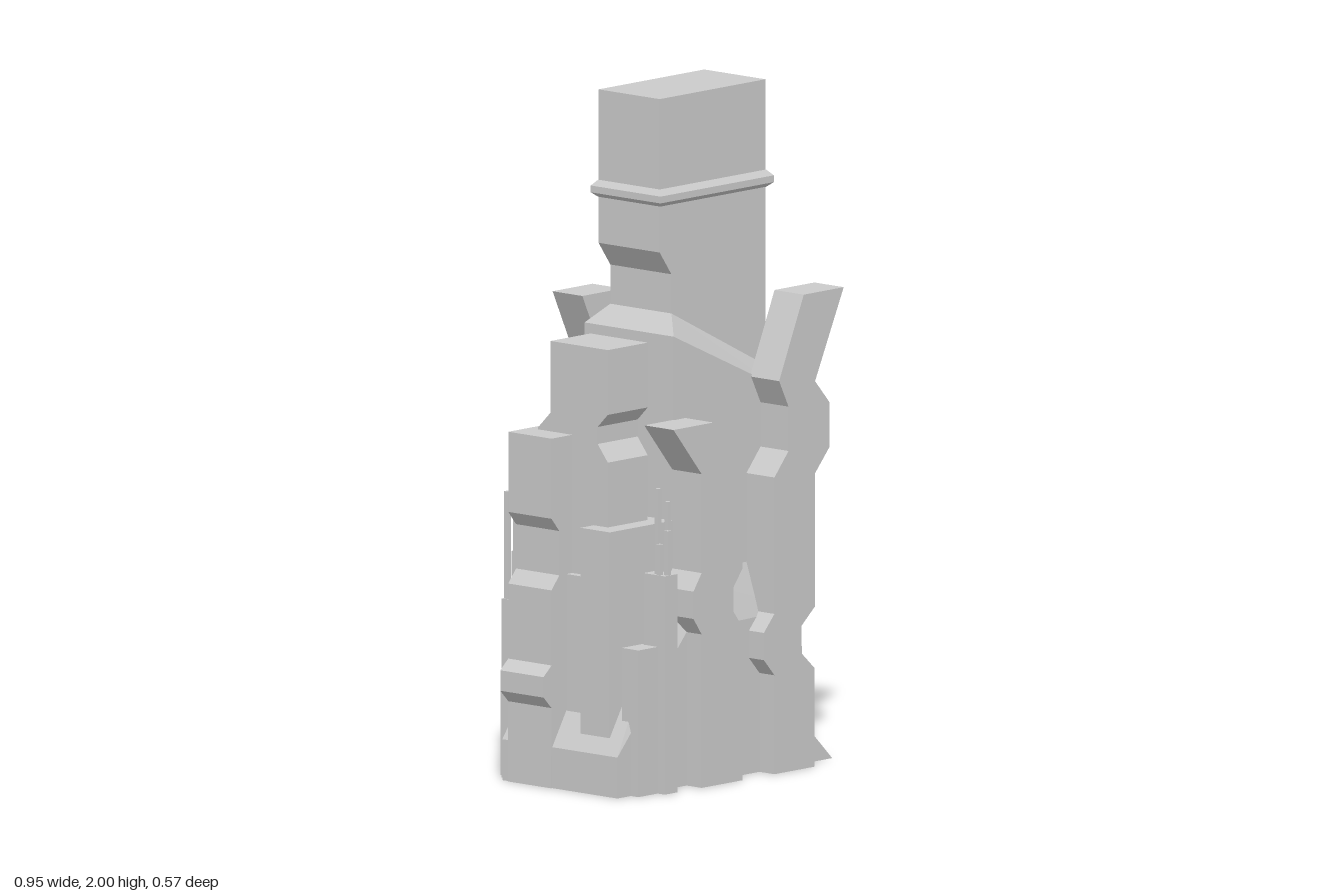
import * as THREE from 'three';
import { ConvexGeometry } from 'three/addons/geometries/ConvexGeometry.js';

export function createModel() {
  const group = new THREE.Group();
  const material = new THREE.MeshStandardMaterial({ color: 0xcccccc, flatShading: true });

  const add = (name, geometry, parent = group) => {
    const mesh = new THREE.Mesh(geometry, material);
    mesh.name = name;
    parent.add(mesh);
    return mesh;
  };
  // Box given by its extents
  const block = (name, x0, x1, y0, y1, z0, z1, parent) =>
    add(name, new THREE.BoxGeometry(x1 - x0, y1 - y0, z1 - z0)
      .translate((x0 + x1) / 2, (y0 + y1) / 2, (z0 + z1) / 2), parent);
  // Outline in x,y pushed through from z0 to z1
  const slab = (name, points, z0, z1) => {
    const shape = new THREE.Shape(points.map(([x, y]) => new THREE.Vector2(x, y)));
    return add(name, new THREE.ExtrudeGeometry(shape, { depth: z1 - z0, bevelEnabled: false }).translate(0, 0, z0));
  };
  // Convex solid, symmetric front to back: points are [x, y, half depth]
  const solid = (name, points) =>
    add(name, new ConvexGeometry(points.flatMap(([x, y, z]) =>
      [new THREE.Vector3(x, y, z), new THREE.Vector3(x, y, -z)])));

  // Central tower
  slab('upperTower', [[-0.145, 2], [-0.145, 1.55], [-0.095, 1.48], [-0.095, 1.3],
    [0.305, 1.09], [0.305, 2]], -0.12, 0.12);
  solid('towerRing', [
    [-0.145, 1.685, 0.122], [0.307, 1.685, 0.122], [-0.16, 1.698, 0.137], [0.323, 1.698, 0.137],
    [-0.16, 1.718, 0.137], [0.323, 1.718, 0.137], [-0.145, 1.735, 0.122], [0.307, 1.735, 0.122]]);
  solid('middleBody', [
    [-0.145, 0.4, 0.175], [0.3, 0.4, 0.175], [-0.145, 1.31, 0.175], [0.3, 1.105, 0.175],
    [-0.095, 1.365, 0.12], [0.3, 1.165, 0.12]]);
  solid('lowerBody', [
    [-0.44, 0, 0.226], [0.36, 0, 0.226], [-0.44, 0.12, 0.226], [0.36, 0.11, 0.226],
    [-0.145, 0.45, 0.226], [0.338, 0.46, 0.226], [-0.145, 0.61, 0.175], [0.3, 0.61, 0.175]]);
  solid('slopedFoot', [[0.34, 0, 0.226], [0.475, 0, 0.226], [0.36, 0.113, 0.226], [0.34, 0.113, 0.226]]);
  block('sidePanel', 0.28, 0.34, 0.52, 0.84, -0.135, 0.065);

  // Leaning buttress, used in front and turned the other way at the back
  const buttress = [
    [0.165, 0], [0.335, 0], [0.335, 0.29], [0.28, 0.34], [0.28, 0.42], [0.338, 0.47],
    [0.338, 0.86], [0.4, 0.93], [0.4, 1.06], [0.338, 1.13], [0.46, 1.39], [0.29, 1.39],
    [0.185, 1.15], [0.225, 1.07], [0.225, 0.94], [0.165, 0.87], [0.165, 0.47],
    [0.12, 0.42], [0.12, 0.34], [0.165, 0.29]];
  slab('frontTallButtress', buttress, 0.17, 0.285);
  slab('backTallButtress', buttress.map(([x, y]) => [0.3 - x, y]).reverse(), -0.287, -0.17);
  slab('frontShortButtress', [
    [-0.145, 0], [0.028, 0], [0.028, 0.45], [-0.01, 0.5], [-0.01, 0.57], [0.028, 0.62],
    [0.028, 0.92], [-0.095, 1.065], [-0.265, 1.065], [-0.145, 0.92], [-0.145, 0.63],
    [-0.18, 0.58], [-0.18, 0.5], [-0.145, 0.45]], 0.17, 0.285);

  // Side tower, its outline runs front to back
  const sideOutline = [[0.11, 0], [0.11, 0.96], [0.07, 1.01], [0.07, 1.06], [0.11, 1.1], [0.11, 1.29],
    [-0.115, 1.29], [-0.115, 1.08], [-0.165, 1.03], [-0.165, 0]].map(([z, y]) => new THREE.Vector2(z, y));
  add('sideTower', new THREE.ExtrudeGeometry(new THREE.Shape(sideOutline), { depth: 0.17, bevelEnabled: false })
    .rotateY(-Math.PI / 2).translate(-0.185, 0, 0));
  slab('sideButtress', [
    [-0.445, 0], [-0.17, 0], [-0.17, 0.9], [-0.185, 1.025], [-0.443, 1.025], [-0.443, 0.79],
    [-0.41, 0.75], [-0.41, 0.62], [-0.443, 0.58], [-0.443, 0.36], [-0.477, 0.33],
    [-0.477, 0.27], [-0.443, 0.235]], -0.2, -0.03);
  block('sideFrontBlock', -0.412, -0.145, 0, 0.77, 0.055, 0.17);
  block('sideInfill', -0.38, -0.14, 0, 0.62, -0.2, 0.1);

  // Slim columns around the base
  block('frontLowColumn', -0.382, -0.27, 0, 0.43, 0.19, 0.255);
  block('backHighColumn', -0.21, -0.16, 0, 0.905, -0.287, -0.17);
  block('backMiddleColumn', -0.24, -0.2, 0, 0.74, -0.257, -0.19);
  block('backLowColumnLeft', 0.362, 0.415, 0, 0.32, -0.287, -0.2);
  block('backLowColumnRight', -0.382, -0.327, 0, 0.28, -0.287, -0.2);

  // Columns crowned with thin masts: masts are [x, z, top]
  const mastColumn = (name, x0, x1, z0, z1, top, masts) => {
    const part = new THREE.Group();
    part.name = name;
    group.add(part);
    block('column', x0, x1, 0, top, z0, z1, part);
    for (const [x, z, h] of masts) block('mast', x - 0.007, x + 0.007, top - 0.01, h, z - 0.007, z + 0.007, part);
  };
  mastColumn('frontMastColumn', -0.3, -0.245, 0.2, 0.283, 0.64,
    [[-0.28, 0.238, 0.89], [-0.254, 0.252, 0.85], [-0.291, 0.255, 0.73], [-0.278, 0.274, 0.77]]);
  for (const [side, sx] of [['Left', 0], ['Right', -0.742]]) {
    mastColumn('backMastColumn' + side, 0.333 + sx, 0.387 + sx, -0.257, -0.2, 0.525,
      [[0.344 + sx, -0.244, 0.84], [0.379 + sx, -0.247, 0.66], [0.352 + sx, -0.216, 0.77], [0.373 + sx, -0.214, 0.58]]);
  }
  return group;
}
